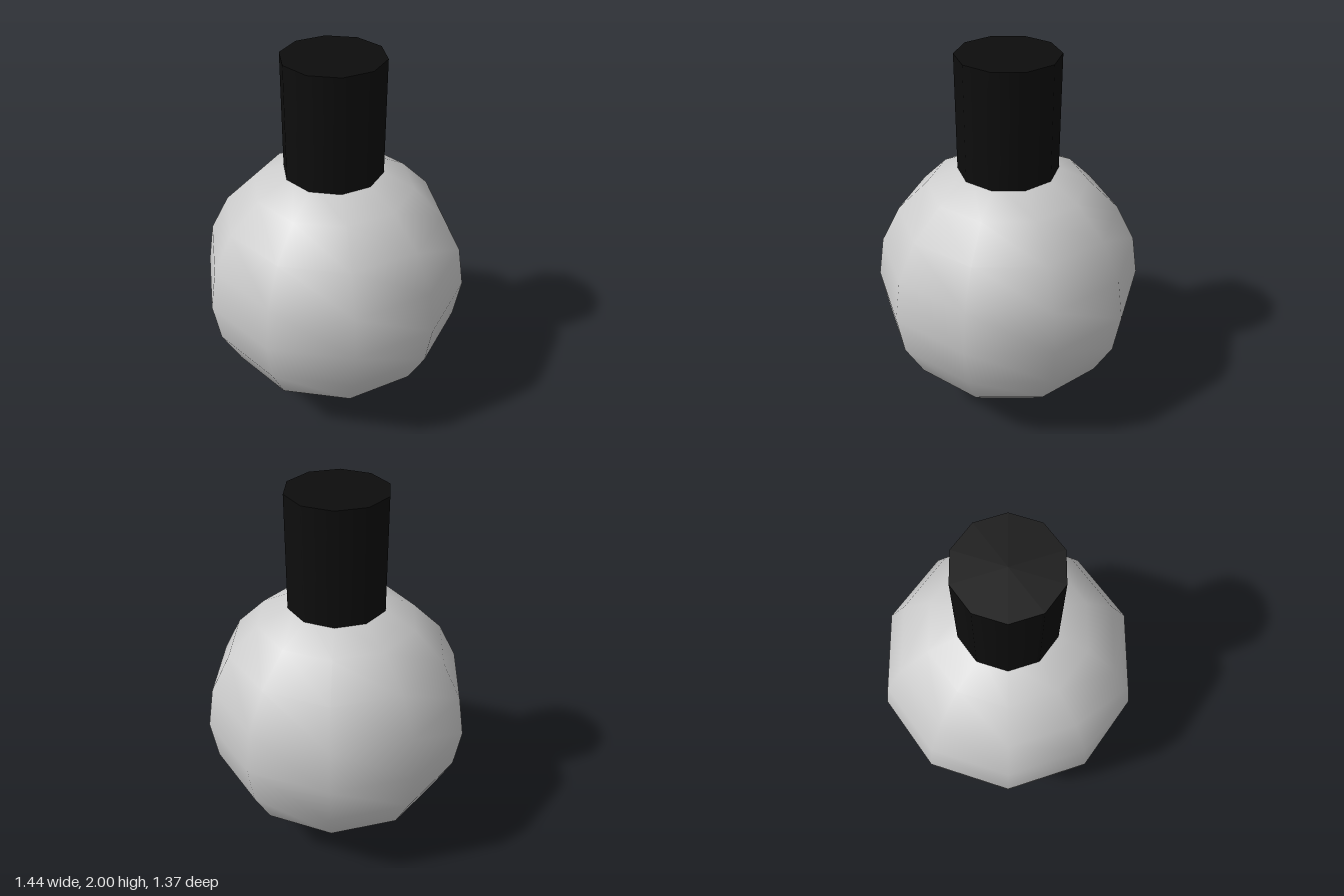
import * as THREE from 'three';

const SIDES = 10;
const BULB_RADIUS = 0.72;
const NECK_RADIUS = 0.262;
const NECK_BOTTOM = 1.36;
const TOP = 2;

export function createModel() {
  const group = new THREE.Group();
  group.name = 'roundFlask';

  // Low-sided round body with smooth shading
  const bulb = new THREE.Mesh(
    new THREE.SphereGeometry(BULB_RADIUS, SIDES, SIDES),
    new THREE.MeshStandardMaterial({ color: 0xcccccc })
  );
  bulb.name = 'bulb';
  bulb.position.y = 0.725;
  group.add(bulb);

  // Dark neck, corners lined up with the body and sunk slightly into it
  const height = TOP - NECK_BOTTOM;
  const neck = new THREE.Mesh(
    new THREE.CylinderGeometry(NECK_RADIUS, NECK_RADIUS, height, SIDES, 1, false, Math.PI / 2),
    new THREE.MeshStandardMaterial({ color: 0x0d0d0d })
  );
  neck.name = 'neck';
  neck.position.y = NECK_BOTTOM + height / 2;
  group.add(neck);

  return group;
}
